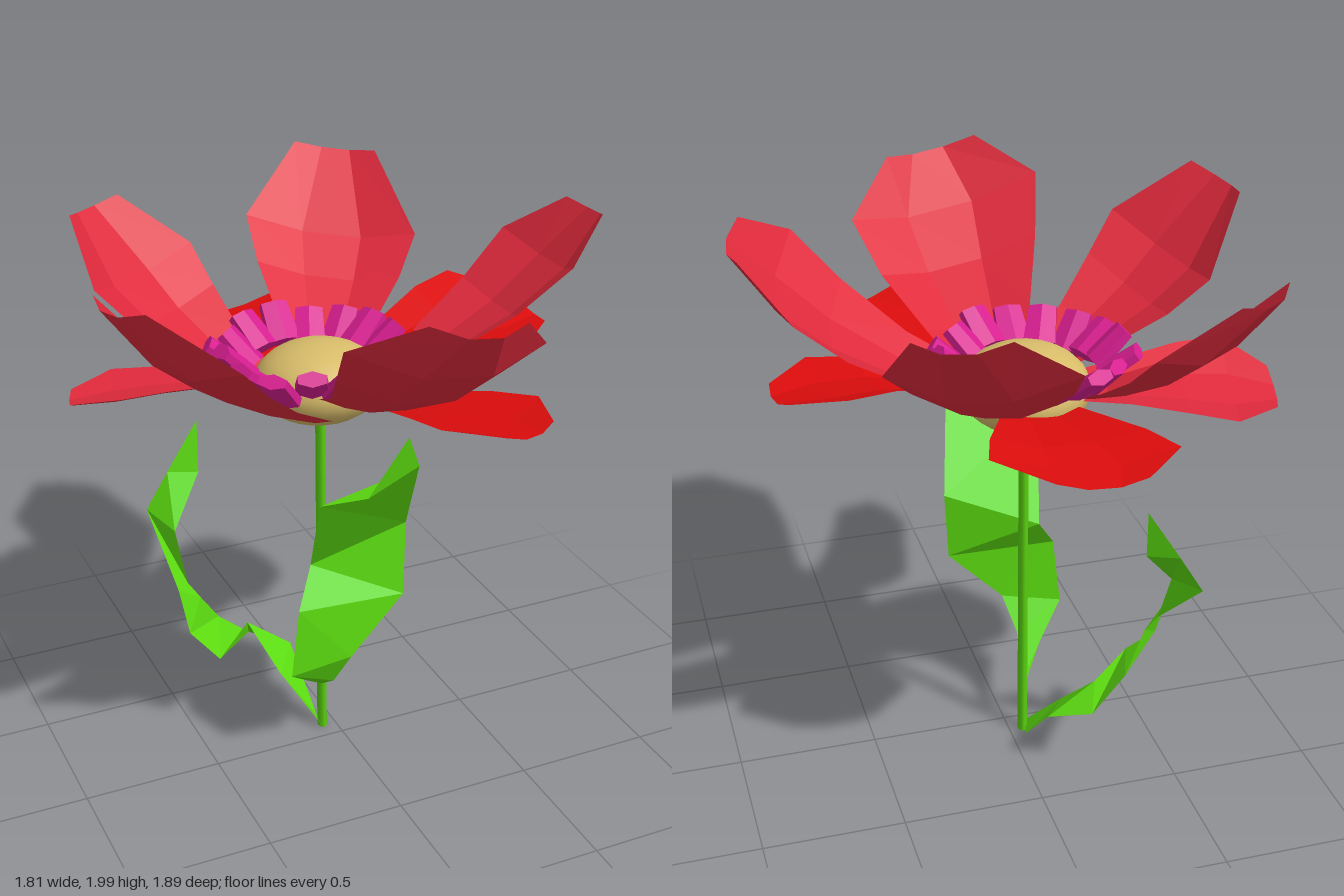
import * as THREE from 'three';

const CX = -0.05, CZ = -0.075; // flower axis

const material = (color, extra = {}) => new THREE.MeshStandardMaterial({ color, ...extra });
const faceted = (color) => material(color, { flatShading: true, side: THREE.DoubleSide });

// Surface through rows of points, every row with the same number of points
function skin(rows) {
  const n = rows[0].length, index = [];
  for (let i = 0; i < rows.length - 1; i++) {
    for (let j = 0; j < n - 1; j++) {
      const a = i * n + j, b = a + n;
      index.push(a, a + 1, b, a + 1, b + 1, b);
    }
  }
  const geometry = new THREE.BufferGeometry();
  geometry.setAttribute('position', new THREE.Float32BufferAttribute(rows.flat(2), 3));
  geometry.setIndex(index);
  geometry.computeVertexNormals();
  return geometry;
}

function add(parent, name, geometry, mat) {
  const mesh = new THREE.Mesh(geometry, mat);
  mesh.name = name;
  parent.add(mesh);
  return mesh;
}

// Cupped petal from base to tip, widest at the shoulder
function petal({ base, tip, width, shoulder = 0.78, roll = 0, cup = 0.09, sag = 0.07 }) {
  const b = new THREE.Vector3(...base), axis = new THREE.Vector3(...tip).sub(b);
  const side = new THREE.Vector3(-axis.z, 0, axis.x).normalize();
  const up = side.clone().cross(axis).normalize();
  if (up.y < 0) up.negate();
  side.y = roll;
  const outline = [[0, 0.34], [0.35 * shoulder, 0.55], [0.7 * shoulder, 0.83], [shoulder, 1], [1, 0.48]];
  const rows = outline.map(([u, w]) => [-1, -0.35, 0.35, 1].map((v) => {
    const lift = cup * w * (v * v - 0.3) - sag * Math.sin(Math.PI * u);
    return b.clone()
      .addScaledVector(axis, u - 0.02 * u * v * v)
      .addScaledVector(side, v * w * width)
      .addScaledVector(up, lift)
      .toArray();
  }));
  return skin(rows);
}

const UPPER = [
  { base: [-0.01, 1.39, 0.08], tip: [0.03, 1.95, 0.92], width: 0.35, roll: 0.15, cup: 0.11, sag: 0.09 },
  { base: [0.1, 1.39, -0.03], tip: [0.89, 1.96, 0.1], width: 0.33, roll: 0.12 },
  { base: [0.02, 1.39, -0.22], tip: [0.39, 1.96, -0.92], width: 0.31, roll: -0.1, shoulder: 0.65 },
  { base: [-0.24, 1.4, -0.17], tip: [-0.64, 1.92, -0.74], width: 0.28, shoulder: 0.68 },
  { base: [-0.18, 1.39, 0.13], tip: [-0.89, 1.95, 0.3], width: 0.31, roll: -0.1, shoulder: 0.66 },
  // Drooping side petal
  { base: [-0.2, 1.42, -0.15], tip: [-0.87, 1.4, -0.31], width: 0.24, roll: -0.2, cup: 0.05, sag: -0.02 },
];
const LOWER = [
  { base: [-0.04, 1.4, -0.2], tip: [-0.08, 1.42, -0.84], width: 0.32, roll: 0.1 },
  { base: [0.06, 1.38, 0.05], tip: [0.35, 1.47, 0.69], width: 0.26, roll: 0.12 },
  { base: [0.1, 1.43, -0.1], tip: [0.81, 1.52, -0.16], width: 0.27, roll: -0.15, sag: -0.05 },
].map((p) => ({ cup: 0.05, sag: -0.02, ...p }));

// Folded ribbon leaves as pairs of left and right edge points
const FRONT_LEAF = [
  [[-0.07, 0.2, -0.06], [-0.06, 0.2, -0.05]],
  [[-0.15, 0.29, 0.04], [-0.08, 0.31, 0.1]],
  [[-0.26, 0.4, 0.14], [-0.04, 0.44, 0.165]],
  [[-0.23, 0.66, 0.14], [0.165, 0.65, 0.16]],
  [[-0.15, 0.79, 0.06], [0.185, 0.92, 0.13]],
  [[-0.21, 1.14, 0.28], [0.115, 1.26, 0.36]],
  [[-0.08, 1.19, 0.38], [0.115, 1.26, 0.36]],
  [[0.05, 1.4, 0.41], [0.05, 1.4, 0.41]],
];
const BACK_LEAF = [
  [[-0.06, 0.01, -0.05], [-0.05, 0.01, -0.13]],
  [[-0.17, 0.19, -0.19], [-0.07, 0.22, -0.33]],
  [[-0.24, 0.35, -0.34], [-0.21, 0.26, -0.41]],
  [[-0.42, 0.34, -0.16], [-0.34, 0.38, -0.38]],
  [[-0.51, 0.44, -0.22], [-0.43, 0.52, -0.32]],
  [[-0.53, 0.6, -0.27], [-0.47, 0.58, -0.34]],
  [[-0.545, 0.8, -0.55], [-0.49, 0.77, -0.4]],
  [[-0.46, 0.94, -0.545], [-0.355, 0.94, -0.5]],
  [[-0.34, 1.13, -0.54], [-0.34, 1.13, -0.54]],
];

export function createModel() {
  const model = new THREE.Group();
  model.name = 'flower';

  // Stem, slightly oval
  const stem = add(model, 'stem', new THREE.CylinderGeometry(1, 1, 1.34, 10), material(0x58d010));
  stem.scale.set(0.017, 1, 0.025);
  stem.position.set(CX, 0.67, CZ);

  // Leaves
  const green = faceted(0x5cdc10);
  add(model, 'frontLeaf', skin(FRONT_LEAF), green);
  add(model, 'backLeaf', skin(BACK_LEAF), green);

  // Flower centre, tipped slightly backwards
  const disc = add(model, 'flowerCentre', new THREE.SphereGeometry(0.225, 20, 14), material(0xd8bc6a));
  disc.scale.y = 0.63;
  disc.position.set(CX, 1.42, CZ - 0.01);
  disc.rotation.x = -0.06;

  // Petals in two layers
  const upperRed = faceted(0xe02a3c), lowerRed = faceted(0xdc0c0c);
  UPPER.forEach((p) => add(model, 'upperPetal', petal(p), upperRed));
  LOWER.forEach((p) => add(model, 'lowerPetal', petal(p), lowerRed));

  // Ring of chunky stamens leaning outwards
  const ring = new THREE.Group();
  ring.name = 'stamenRing';
  ring.position.set(-0.08, 1.52, -0.085);
  model.add(ring);
  const stamenShape = new THREE.CylinderGeometry(0.055, 0.065, 0.15, 6);
  stamenShape.scale(1, 1, 0.5);
  const magenta = faceted(0xd81e90);
  const count = 16;
  for (let i = 0; i < count; i++) {
    const angle = (i / count) * Math.PI * 2;
    const stamen = add(ring, 'stamen', stamenShape, magenta);
    const radius = 0.275 + 0.015 * Math.sin(i * 2.4);
    stamen.position.set(Math.sin(angle) * radius, 0.015 * Math.sin(i * 1.7), Math.cos(angle) * radius);
    stamen.rotation.set(0.85 + 0.15 * Math.sin(i * 3.1), angle, 0, 'YXZ');
  }
  return model;
}
